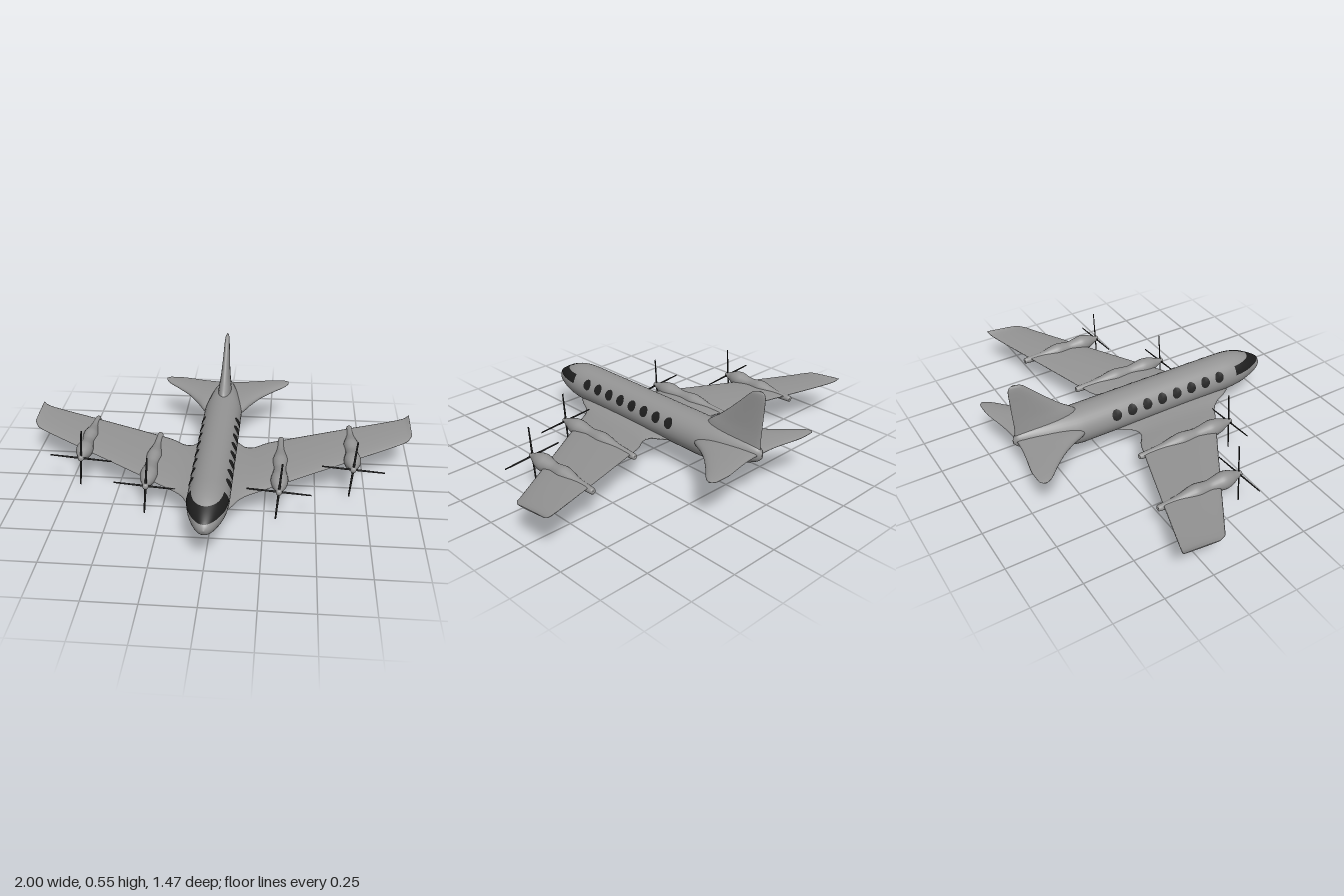
import * as THREE from 'three';

const bodyMat = new THREE.MeshStandardMaterial({ color: 0x949494 });
const glassMat = new THREE.MeshStandardMaterial({ color: 0x1e1e1e, side: THREE.DoubleSide });
const bladeMat = new THREE.MeshStandardMaterial({ color: 0x222222 });

// Smooth monotone interpolation of rows [key, a, b, ...] with rising key
function sample(rows, key) {
  let i = 0;
  while (i < rows.length - 2 && key > rows[i + 1][0]) i++;
  const slope = (k, c) => (rows[k + 1][c] - rows[k][c]) / (rows[k + 1][0] - rows[k][0]);
  const tangent = (k, c) => {
    if (k === 0) return slope(0, c);
    if (k === rows.length - 1) return slope(k - 1, c);
    const a = slope(k - 1, c), b = slope(k, c);
    return a * b <= 0 ? 0 : 2 * a * b / (a + b);
  };
  const h = rows[i + 1][0] - rows[i][0];
  const t = THREE.MathUtils.clamp((key - rows[i][0]) / h, 0, 1), t2 = t * t, t3 = t2 * t;
  return rows[i].slice(1).map((v, j) => {
    const c = j + 1;
    return (2 * t3 - 3 * t2 + 1) * v + (t3 - 2 * t2 + t) * h * tangent(i, c)
      + (3 * t2 - 2 * t3) * rows[i + 1][c] + (t3 - t2) * h * tangent(i + 1, c);
  });
}

// Skin a list of closed rings, cap the ends, and turn all faces outward
function loft(rings) {
  const n = rings[0].length, pos = rings.flat(2), idx = [];
  for (let r = 0; r < rings.length - 1; r++)
    for (let k = 0; k < n; k++) {
      const a = r * n + k, b = r * n + (k + 1) % n;
      idx.push(a, b, a + n, b, b + n, a + n);
    }
  const last = (rings.length - 1) * n;
  for (let k = 1; k < n - 1; k++) idx.push(0, k + 1, k, last, last + k, last + k + 1);
  let volume = 0;
  const p = i => new THREE.Vector3().fromArray(pos, i * 3);
  for (let i = 0; i < idx.length; i += 3) volume += p(idx[i]).dot(p(idx[i + 1]).cross(p(idx[i + 2])));
  if (volume < 0) idx.reverse();
  const g = new THREE.BufferGeometry();
  g.setAttribute('position', new THREE.Float32BufferAttribute(pos, 3));
  g.setIndex(idx);
  g.computeVertexNormals();
  return g;
}

// Airfoil loop: chord fraction from the leading edge, and relative height
const airfoil = Array.from({ length: 24 }, (_, k) => {
  const u = k / 24 * Math.PI * 2, c = 0.5 - 0.5 * Math.cos(u);
  return [c, 0.5 * Math.sin(u) * (1.25 - 0.6 * c)];
});

// Wing rows: span, z leading, z trailing, y leading, y trailing, thickness
function spanWing(rows, steps) {
  const rings = [], span = rows[rows.length - 1][0];
  for (let i = -steps; i <= steps; i++) {
    const x = span * Math.sin(i / steps * Math.PI / 2);
    const [z0, z1, y0, y1, t] = sample(rows, Math.abs(x));
    rings.push(airfoil.map(([c, h]) => [x, y0 + (y1 - y0) * c + t * h, z0 + (z1 - z0) * c]));
  }
  return loft(rings);
}

// Fuselage rows: z, bottom, top, half width
const hull = [
  [-0.71, 0.228, 0.25, 0.004], [-0.69, 0.207, 0.275, 0.024], [-0.62, 0.175, 0.295, 0.05],
  [-0.55, 0.153, 0.303, 0.07], [-0.45, 0.127, 0.308, 0.09], [-0.37, 0.115, 0.307, 0.1],
  [0.48, 0.115, 0.306, 0.099], [0.55, 0.12, 0.302, 0.094], [0.60, 0.129, 0.292, 0.085],
  [0.65, 0.142, 0.27, 0.068], [0.70, 0.16, 0.242, 0.044], [0.725, 0.177, 0.222, 0.023],
  [0.735, 0.199, 0.203, 0.002],
];

// Half width of the fuselage skin at height y, station z
function skinX(z, y) {
  const [b, t, w] = sample(hull, z);
  const d = (y - (b + t) / 2) / ((t - b) / 2);
  return w * Math.sqrt(Math.max(0, 1 - d * d));
}

function fuselageGeometry() {
  const rings = [], n = 36, steps = 80;
  for (let i = 0; i <= steps; i++) {
    const z = 0.0125 - 0.7225 * Math.cos(i / steps * Math.PI);
    const [b, t, w] = sample(hull, z);
    rings.push(Array.from({ length: n }, (_, k) => {
      const a = k / n * Math.PI * 2;
      return [w * Math.cos(a), (b + t) / 2 + (t - b) / 2 * Math.sin(a), z];
    }));
  }
  return loft(rings);
}

// Wraparound windscreen laid on the nose between two heights
function windscreenGeometry() {
  const g = new THREE.PlaneGeometry(2, 1, 48, 8), p = g.attributes.position;
  for (let i = 0; i < p.count; i++) {
    const s = p.getX(i), y = 0.25 + p.getY(i) * 0.046;
    let lo = 0.52, hi = 0.735;
    for (let k = 0; k < 25; k++) {
      const m = (lo + hi) / 2;
      if (sample(hull, m)[1] > y) lo = m; else hi = m;
    }
    const z = 0.52 + (lo - 0.52) * (1 - s * s);
    p.setXYZ(i, Math.sign(s) * (skinX(z, y) + 0.003 * Math.abs(s)), y + 0.001, z + 0.003);
  }
  g.computeVertexNormals();
  return g;
}

// Round cabin window bent onto the fuselage side
function windowGeometry(side, zc) {
  const g = new THREE.CircleGeometry(0.026, 28), p = g.attributes.position;
  for (let i = 0; i < p.count; i++) {
    const z = zc + side * -p.getX(i), y = 0.25 + p.getY(i);
    p.setXYZ(i, side * (skinX(z, y) + 0.003), y, z);
  }
  g.computeVertexNormals();
  return g;
}

// Nacelle with two bulges and a spinner, propeller plane at z = 0
function makeEngine(length) {
  const engine = new THREE.Group();
  const profile = [[0, -1], [0.014, -1], [0.017, -0.9], [0.022, -0.75], [0.034, -0.62], [0.039, -0.54],
    [0.034, -0.45], [0.031, -0.38], [0.037, -0.29], [0.043, -0.21], [0.038, -0.13], [0.025, -0.06],
    [0.016, -0.01], [0.013, 0.025], [0, 0.035]];
  const curve = new THREE.SplineCurve(profile.map(([r, z]) => new THREE.Vector2(r, z * length)));
  const points = curve.getPoints(60).map(v => v.setX(Math.max(0, v.x)));
  const nacelle = new THREE.Mesh(new THREE.LatheGeometry(points, 24).rotateX(Math.PI / 2), bodyMat);
  nacelle.name = 'nacelle';
  engine.add(nacelle);
  const propeller = new THREE.Group();
  propeller.name = 'propeller';
  for (let k = 0; k < 4; k++) {
    const geo = new THREE.CylinderGeometry(0.004, 0.006, 0.155, 8).scale(1, 1, 0.4).translate(0, 0.0775, 0);
    const blade = new THREE.Mesh(geo, bladeMat);
    blade.name = 'propellerBlade';
    blade.rotation.z = k * Math.PI / 2 - 0.08;
    propeller.add(blade);
  }
  engine.add(propeller);
  return engine;
}

export function createModel() {
  const plane = new THREE.Group();
  plane.name = 'airplane';
  const add = (name, geometry, material = bodyMat) => {
    const mesh = new THREE.Mesh(geometry, material);
    mesh.name = name;
    plane.add(mesh);
  };

  add('fuselage', fuselageGeometry());
  add('windscreen', windscreenGeometry(), glassMat);
  for (const side of [-1, 1])
    for (let i = 0; i < 8; i++) add('cabinWindow', windowGeometry(side, 0.416 - i * 0.0875), glassMat);

  // Main wing with flared root and upturned tips
  add('wing', spanWing([
    [0, 0.52, -0.22, 0.142, 0.147, 0.05], [0.09, 0.47, -0.18, 0.142, 0.149, 0.042],
    [0.12, 0.40, -0.125, 0.141, 0.15, 0.036], [0.165, 0.342, -0.11, 0.14, 0.151, 0.032],
    [0.25, 0.286, -0.158, 0.144, 0.157, 0.03], [0.32, 0.24, -0.183, 0.148, 0.162, 0.028],
    [0.68, 0.008, -0.306, 0.165, 0.184, 0.024], [0.94, -0.159, -0.393, 0.179, 0.2, 0.02],
    [0.975, -0.183, -0.405, 0.184, 0.206, 0.016], [1, -0.225, -0.415, 0.197, 0.22, 0.006],
  ], 60));

  // Swept tailplane with a deep, blended root
  add('tailplane', spanWing([
    [0, -0.34, -0.695, 0.205, 0.243, 0.075], [0.09, -0.37, -0.704, 0.218, 0.246, 0.06],
    [0.15, -0.465, -0.714, 0.229, 0.247, 0.047], [0.2, -0.535, -0.725, 0.236, 0.248, 0.038],
    [0.27, -0.612, -0.736, 0.24, 0.249, 0.028], [0.33, -0.672, -0.735, 0.243, 0.25, 0.016],
    [0.35, -0.703, -0.722, 0.246, 0.25, 0.004],
  ], 30));

  // Fin rows: y, z leading, z trailing, thickness
  const fin = [[0.24, -0.34, -0.70, 0.085], [0.31, -0.38, -0.697, 0.068], [0.36, -0.445, -0.70, 0.052],
    [0.45, -0.544, -0.706, 0.036], [0.52, -0.615, -0.71, 0.026], [0.54, -0.638, -0.706, 0.02],
    [0.552, -0.67, -0.692, 0.006]];
  add('fin', loft(Array.from({ length: 33 }, (_, i) => {
    const y = 0.24 + 0.312 * Math.sin(i / 32 * Math.PI / 2);
    const [z0, z1, t] = sample(fin, y);
    return airfoil.map(([c, h]) => [t * h, y, z0 + (z1 - z0) * c]);
  })));

  // Four engines, two under each wing half
  for (const side of [-1, 1])
    for (const [x, y, z, length, name] of [[0.32, 0.156, 0.314, 0.52, 'innerEngine'], [0.68, 0.174, 0.108, 0.44, 'outerEngine']]) {
      const engine = makeEngine(length);
      engine.name = name;
      engine.position.set(side * x, y, z);
      plane.add(engine);
    }
  return plane;
}
